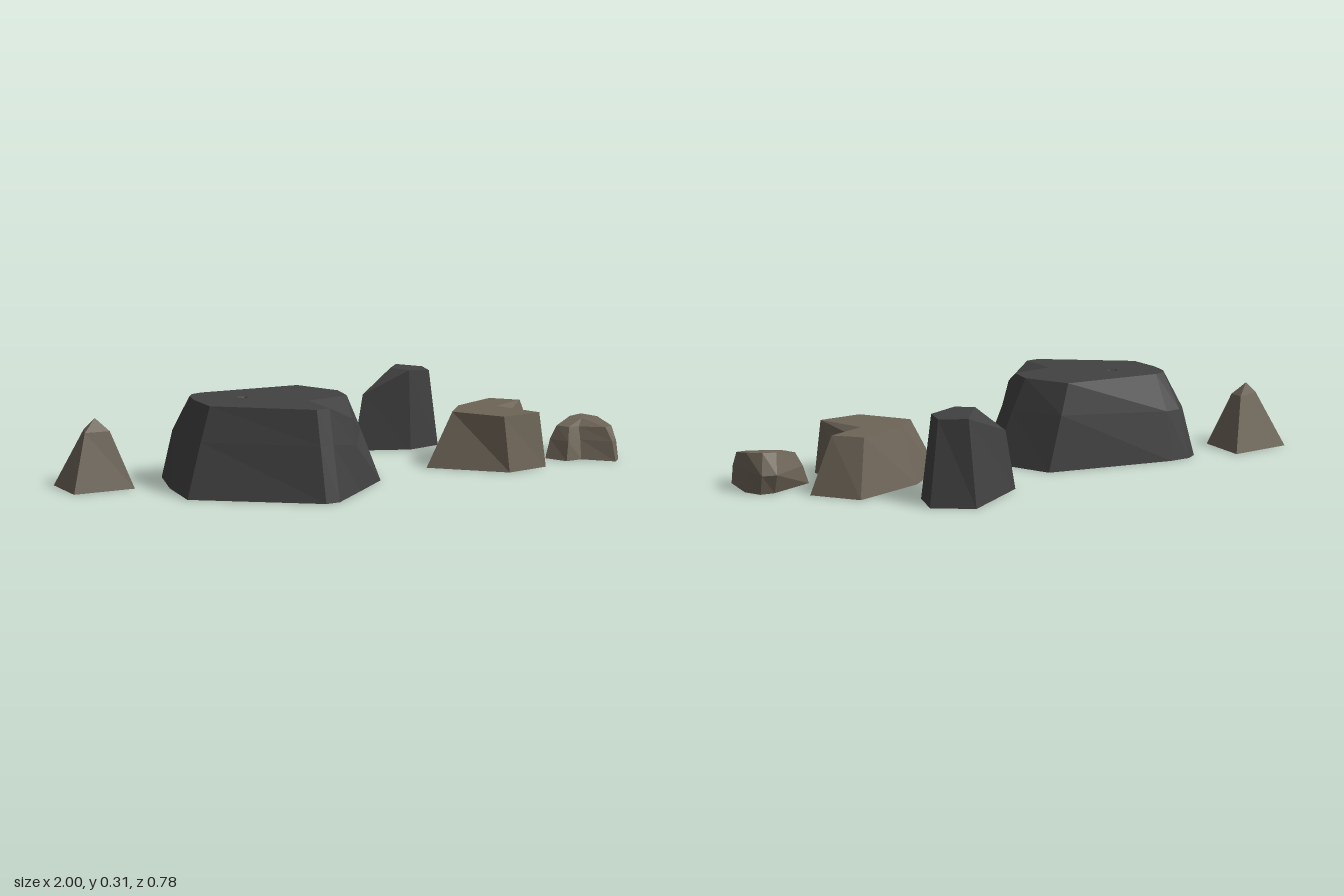
import * as THREE from 'three';

const mat = (name, color) => new THREE.MeshStandardMaterial({ name, color, flatShading: true, side: THREE.DoubleSide });

// Lofts a faceted rock through rings of [x, y, z] points, open below, closed by a fan to the crown point.
function rock(name, material, rings, crown) {
  const pos = [];
  const tri = (a, b, c) => {
    const [A, B, C] = [a, b, c].map((p) => new THREE.Vector3(...p));
    if (B.sub(A).cross(C.sub(A)).length() > 1e-7) pos.push(...a, ...b, ...c);
  };
  const n = rings[0].length;
  for (let i = 0; i < n; i++) {
    const j = (i + 1) % n;
    for (let r = 0; r + 1 < rings.length; r++) {
      const lo = rings[r], up = rings[r + 1];
      tri(lo[i], up[i], up[j]);
      tri(lo[i], up[j], lo[j]);
    }
    const top = rings[rings.length - 1];
    tri(crown, top[j], top[i]);
  }
  const geo = new THREE.BufferGeometry();
  geo.setAttribute('position', new THREE.Float32BufferAttribute(pos, 3));
  geo.computeVertexNormals();
  const mesh = new THREE.Mesh(geo, material);
  mesh.name = name;
  return mesh;
}

// Footprint on the ground from [x, z] pairs
const ground = (pairs) => pairs.map(([x, z]) => [x, 0, z]);

export function createModel() {
  const group = new THREE.Group();
  group.name = 'rockCluster';
  const dark = mat('darkStone', 0x424242);
  const tan = mat('tanStone', 0x6e6558);

  // Large boulder: bevelled shoulders, a chipped front rim and a small pit on top
  const base = ground([[-0.62, -0.2], [-0.58, -0.225], [-0.5, -0.225], [-0.03, -0.135], [0.085, 0.07], [0.06, 0.19],
    [-0.07, 0.29], [-0.2, 0.388], [-0.25, 0.388], [-0.65, 0.13], [-0.65, -0.04]]);
  const shoulder = [[-0.59, 0.18, -0.16], [-0.56, 0.18, -0.185], [-0.5, 0.18, -0.19], [-0.09, 0.2, -0.12],
    [0.01, 0.19, 0.06], [-0.005, 0.19, 0.16], [-0.08, 0.16, 0.275], [-0.2, 0.19, 0.34], [-0.25, 0.19, 0.343],
    [-0.59, 0.19, 0.11], [-0.595, 0.19, -0.03]];
  const rim = [[-0.55, -0.09], [-0.53, -0.12], [-0.49, -0.13], [-0.13, -0.1], [-0.04, 0.05], [-0.05, 0.14],
    [-0.09, 0.26], [-0.2, 0.31], [-0.25, 0.315], [-0.55, 0.1], [-0.56, -0.02]].map(([x, z]) => [x, 0.31, z]);
  rim[6][1] = 0.255;
  const plateau = rim.map((p, i) => (i === 6 ? [-0.21, 0.31, 0.165] : p));
  const pit = [-0.395, 0.285, 0.005];
  const pitRim = plateau.map(([x, y, z]) => [pit[0] + (x - pit[0]) * 0.07, y, pit[2] + (z - pit[2]) * 0.07]);
  group.add(rock('largeBoulder', dark, [base, shoulder, rim, plateau, pitRim], pit));

  // Tall standing stone at the back
  group.add(rock('standingStone', dark, [
    ground([[0.175, -0.25], [0.405, -0.39], [0.535, -0.305], [0.51, -0.19], [0.38, -0.17]]),
    [[0.215, 0.215, -0.252], [0.41, 0.3, -0.35], [0.49, 0.295, -0.285], [0.475, 0.295, -0.205], [0.38, 0.305, -0.19]],
  ], [0.33, 0.31, -0.245]));

  // Flat-topped stone with a notch on its left side
  group.add(rock('notchedStone', tan, [
    ground([[0.295, 0.105], [0.445, -0.03], [0.695, -0.105], [0.82, 0.035], [0.66, 0.115], [0.695, 0.285], [0.53, 0.3]]),
    [[0.4, 0.2, 0.105], [0.475, 0.2, 0.02], [0.65, 0.2, -0.045], [0.735, 0.2, 0.035], [0.635, 0.175, 0.115],
      [0.68, 0.2, 0.255], [0.525, 0.2, 0.262]],
    [[0.4, 0.2, 0.105], [0.475, 0.2, 0.02], [0.65, 0.2, -0.045], [0.735, 0.2, 0.035], [0.6, 0.2, 0.09],
      [0.68, 0.2, 0.255], [0.525, 0.2, 0.262]],
  ], [0.54, 0.2, 0.09]));

  // Small stone with a cleft in front and a slight overhang behind
  group.add(rock('smallStone', tan, [
    ground([[0.765, 0.175], [0.915, 0.12], [0.965, 0.125], [1, 0.18], [1, 0.31], [0.97, 0.335], [0.875, 0.25], [0.81, 0.25]]),
    [[0.79, 0.07, 0.165], [0.915, 0.07, 0.092], [0.965, 0.07, 0.105], [0.998, 0.08, 0.18], [0.998, 0.07, 0.295],
      [0.97, 0.07, 0.31], [0.885, 0.07, 0.225], [0.825, 0.07, 0.235]],
    [[0.815, 0.12, 0.17], [0.9, 0.14, 0.13], [0.95, 0.145, 0.13], [0.99, 0.14, 0.18], [0.992, 0.122, 0.27],
      [0.96, 0.12, 0.277], [0.89, 0.115, 0.205], [0.84, 0.12, 0.215]],
  ], [0.92, 0.14, 0.18]));

  // Pointed stone
  group.add(rock('pointedStone', tan, [
    ground([[-1, -0.26], [-0.765, -0.27], [-0.76, -0.09], [-0.975, -0.105]]),
    [[-0.905, 0.205, -0.195], [-0.83, 0.2, -0.2], [-0.825, 0.2, -0.15], [-0.912, 0.2, -0.16]],
  ], [-0.868, 0.245, -0.18]));

  return group;
}
